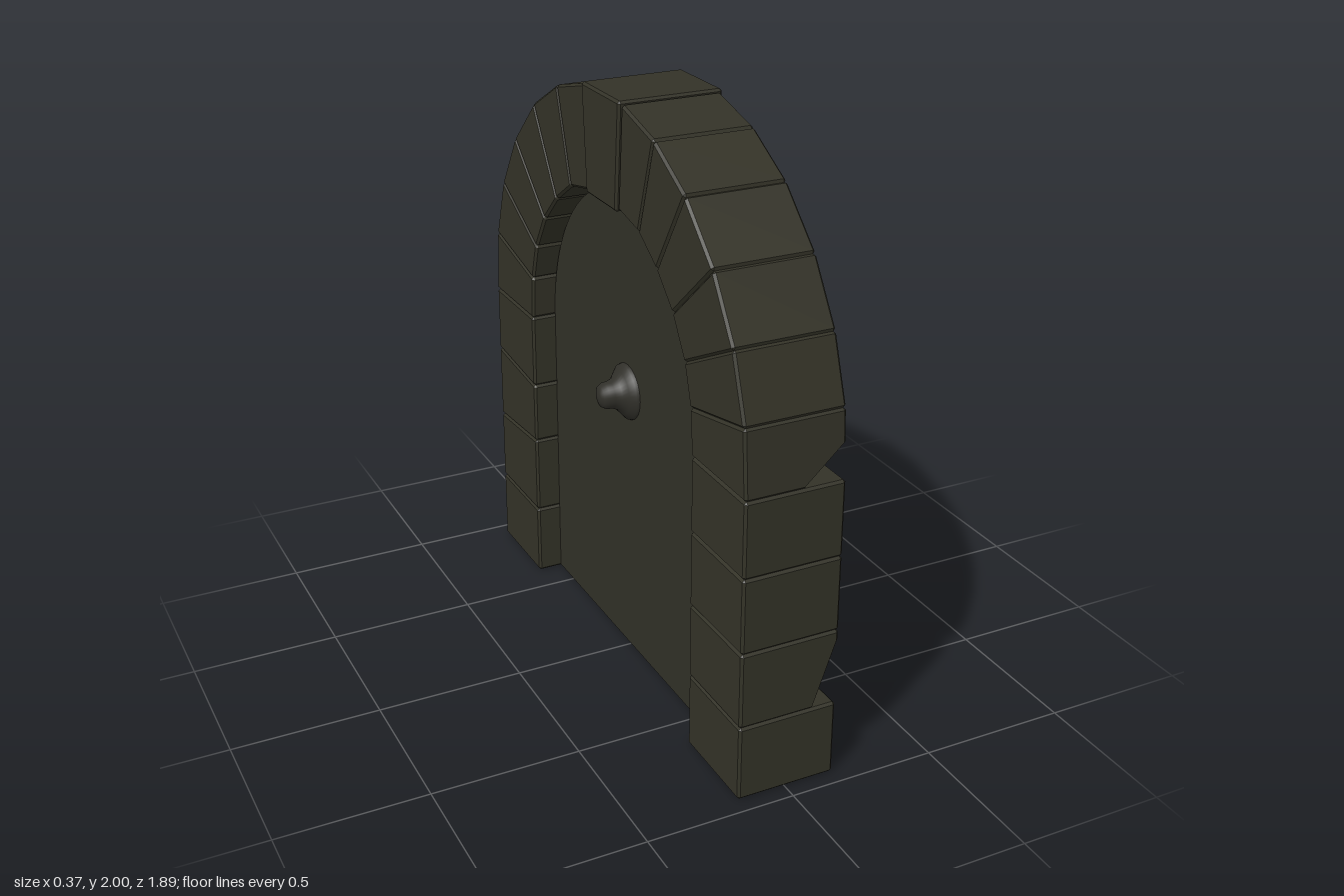
import * as THREE from 'three';
import { ConvexGeometry } from 'three/addons/geometries/ConvexGeometry.js';

const mat = (name, color) => {
  const m = new THREE.MeshStandardMaterial({ color });
  m.name = name;
  return m;
};

// Chamfered stone: quad is four [z, y] corners, running from x0 to x1.
// chip = { corner, next, prev, depth } knocks a corner off the x1 face.
function stoneGeometry(quad, x0, x1, chip) {
  const c = 0.008, pts = [];
  const P = quad.map(([z, y]) => new THREE.Vector3(0, y, z));
  for (let i = 0; i < 4; i++) {
    const a = P[(i + 1) % 4].clone().sub(P[i]).normalize();
    const b = P[(i + 3) % 4].clone().sub(P[i]).normalize();
    for (const front of [false, true]) {
      const o = P[i].clone().setX(front ? x1 : x0);
      const e = [a, b, new THREE.Vector3(front ? -1 : 1, 0, 0)];
      const add = (j, dj, k) =>
        pts.push(o.clone().addScaledVector(e[j], dj).addScaledVector(e[k], c));
      const chipped = chip && front && chip.corner === i;
      const d = chipped ? [chip.next, chip.prev, chip.depth] : [c, c, c];
      for (let j = 0; j < 3; j++) {
        add(j, d[j], (j + 1) % 3);
        if (chipped) add(j, d[j], (j + 2) % 3);
      }
    }
  }
  return new ConvexGeometry(pts);
}

export function createModel() {
  const group = new THREE.Group();
  const stone = mat('dark olive stone', 0x333227);
  const doorMat = mat('dark door slab', 0x313027);
  const metal = mat('dark metal', 0x302f29);
  const cyan = mat('cyan inlay', 0x58d0ca);
  const add = (name, geo, material, parent = group) => {
    const m = new THREE.Mesh(geo, material);
    m.name = name;
    parent.add(m);
    return m;
  };
  const X0 = -0.165, X1 = 0.172;

  // Joints as [inner z, inner y, outer z, outer y], from the floor to the keystone
  const arch = [
    [0.612, 1.03, 0.947, 1.03], [0.6, 1.185, 0.93, 1.255], [0.56, 1.316, 0.857, 1.467],
    [0.48, 1.443, 0.73, 1.662], [0.374, 1.544, 0.554, 1.827], [0.252, 1.623, 0.353, 1.937],
    [0.11, 1.652, 0.137, 1.992],
  ];
  const jamb = (heights) => heights.map(([yi, yo]) => [0.612, yi, 0.947, yo]);
  const sides = [
    {
      name: 'left', s: 1,
      joints: [...jamb([[0, 0], [0.26, 0.26], [0.517, 0.52], [0.775, 0.775]]), ...arch],
      chips: {
        1: { corner: 1, next: 0.225, prev: 0.1, depth: 0.085 },
        4: { corner: 1, next: 0.12, prev: 0.115, depth: 0.14 },
        8: { corner: 0, next: 0.09, prev: 0.07, depth: 0.08 },
      },
    },
    {
      name: 'right', s: -1,
      joints: [...jamb([[0, 0], [0.26, 0.26], [0.545, 0.52], [0.765, 0.793]]), ...arch],
      chips: {
        2: { corner: 1, next: 0.09, prev: 0.085, depth: 0.1 },
        8: { corner: 3, next: 0.05, prev: 0.085, depth: 0.08 },
      },
    },
  ];
  for (const { name, s, joints, chips } of sides) {
    const side = new THREE.Group();
    side.name = name + 'Stones';
    group.add(side);
    for (let i = 0; i < joints.length - 1; i++) {
      const [az, ay, bz, by] = joints[i], [cz, cy, dz, dy] = joints[i + 1];
      const quad = [[az * s, ay], [bz * s, by], [dz * s, dy], [cz * s, cy]];
      add(i < 4 ? 'jambStone' : 'archStone', stoneGeometry(quad, X0, X1, chips[i]), stone, side);
    }
  }

  // Keystone, slightly proud of the arch
  add('keystone', stoneGeometry(
    [[0.11, 1.645], [0.138, 2], [-0.138, 2], [-0.11, 1.645]], -0.174, 0.18), stone);

  // Triangular inlay on the keystone
  const tri = new THREE.Shape([[-0.1, 1.973], [0, 1.708], [0.1, 1.973]]
    .map(([x, y]) => new THREE.Vector2(x, y)));
  tri.holes.push(new THREE.Path([[-0.071, 1.948], [0.071, 1.948], [0, 1.765]]
    .map(([x, y]) => new THREE.Vector2(x, y))));
  add('triangleInlay', new THREE.ExtrudeGeometry(tri, { depth: 0.005, bevelEnabled: false })
    .rotateY(Math.PI / 2).translate(0.179, 0, 0), cyan);

  // Arched door slab, recessed on both faces
  const doorShape = new THREE.Shape();
  doorShape.moveTo(-0.607, 0.008);
  doorShape.lineTo(0.607, 0.008);
  doorShape.lineTo(0.607, 1.04);
  doorShape.absellipse(0, 1.04, 0.607, 0.617, 0, Math.PI, false, 0);
  doorShape.closePath();
  add('door', new THREE.ExtrudeGeometry(doorShape,
    { depth: 0.162, bevelEnabled: false, curveSegments: 24 })
    .rotateY(Math.PI / 2).translate(-0.08, 0, 0), doorMat);

  // Knocker: stepped rose, ball and hanging ring
  const turned = (points) => new THREE.LatheGeometry(
    points.map(([r, h]) => new THREE.Vector2(r, h)), 32);
  const knocker = new THREE.Group();
  knocker.name = 'knocker';
  knocker.position.set(0.08, 0.975, 0);
  group.add(knocker);
  add('rose', turned([[0.095, 0], [0.095, 0.012], [0.085, 0.02], [0.078, 0.016],
    [0.068, 0.03], [0.05, 0.036], [0.025, 0.042], [0.022, 0.07]])
    .rotateZ(-Math.PI / 2), metal, knocker);
  add('ball', new THREE.SphereGeometry(0.035, 24, 16).translate(0.06, 0, 0), metal, knocker);
  add('ring', new THREE.TorusGeometry(0.108, 0.017, 14, 40)
    .rotateY(Math.PI / 2).translate(0.055, -0.097, 0), metal, knocker);

  // Knob on the other face
  add('backKnob', turned([[0.097, 0], [0.094, 0.012], [0.075, 0.028], [0.055, 0.045],
    [0.046, 0.065], [0.045, 0.084], [0.036, 0.1], [0.018, 0.108], [0, 0.11]])
    .rotateZ(Math.PI / 2).translate(-0.079, 0.975, -0.008), metal);

  return group;
}
